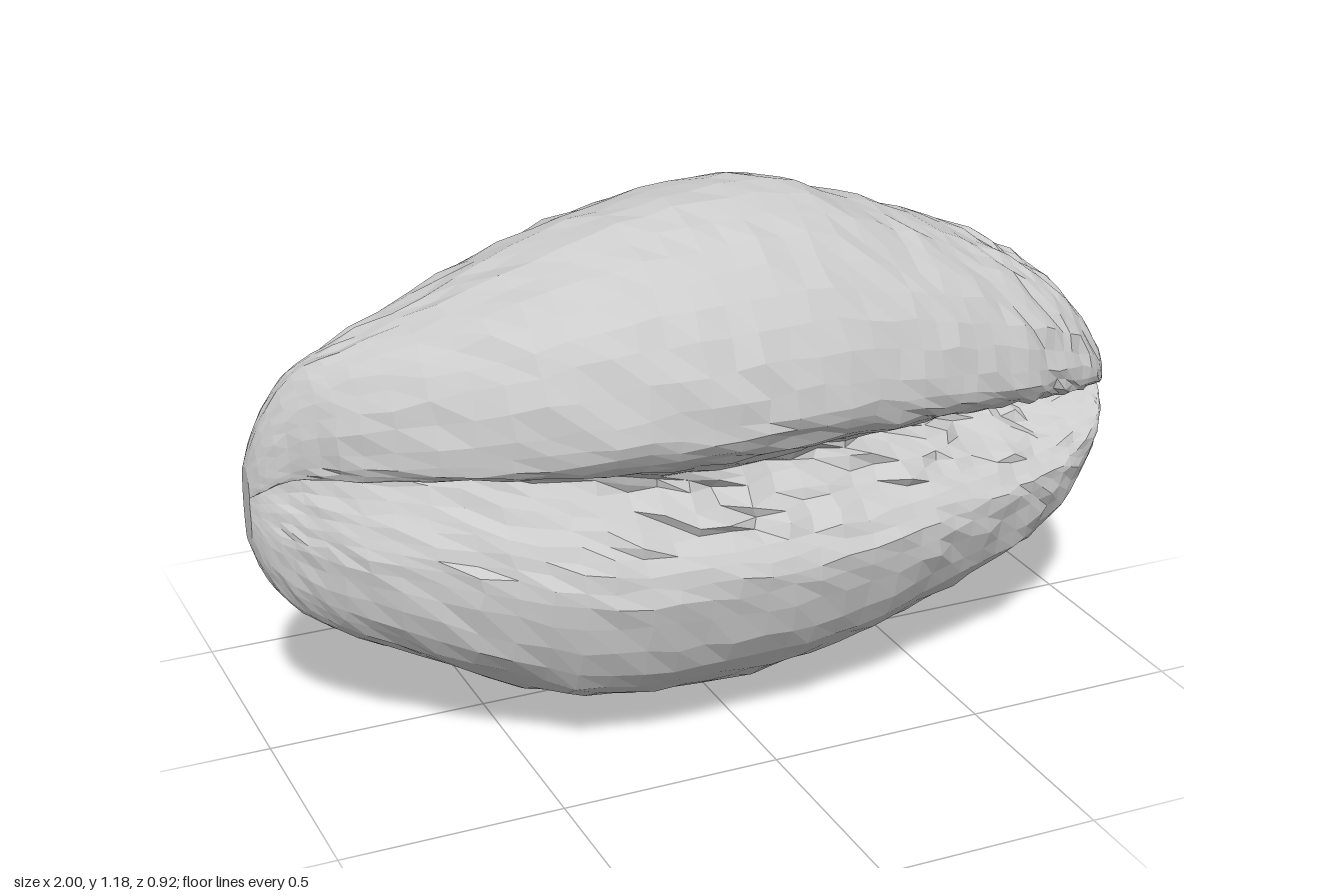
import * as THREE from 'three';

// Cross-section stations along the length: x, bottom, top, back, front, groove depth
const STATIONS = [
  [-1, .48, .66, -.085, -.03, 0],
  [-.97, .40, .75, -.10, .005, .02],
  [-.9, .315, .86, -.12, .06, .04],
  [-.8, .265, .915, -.16, .155, .06],
  [-.6, .18, 1.0, -.24, .29, .08],
  [-.4, .085, 1.09, -.315, .39, .09],
  [-.2, .03, 1.15, -.385, .44, .10],
  [0, .005, 1.175, -.44, .455, .11],
  [.2, .015, 1.165, -.455, .44, .13],
  [.4, .06, 1.1, -.43, .405, .15],
  [.55, .11, 1.04, -.36, .365, .16],
  [.7, .17, .965, -.255, .32, .16],
  [.8, .22, .915, -.18, .29, .15],
  [.88, .29, .86, -.10, .265, .12],
  [.95, .42, .77, -.035, .235, .08],
  [.985, .51, .69, .03, .19, .03],
  [1, .57, .65, .09, .15, 0],
];

// Normalised section: depth (-1 back, 1 front), height, share of the groove
const SECTION = [
  [.93, .05, 1], [.95, .13, .65], [.98, .22, .14], [1, .37, 0], [.84, .67, 0],
  [.5, .89, 0], [.08, 1, 0], [-.32, .93, 0], [-.65, .77, 0], [-.85, .45, 0],
  [-1, 0, 0], [-.87, -.42, 0], [-.66, -.78, 0], [-.32, -.92, 0], [.08, -1, 0],
  [.48, -.89, 0], [.84, -.68, 0], [1, -.37, 0], [.98, -.2, .1], [.95, -.08, .5],
];

const spline = (points, closed) => new THREE.CatmullRomCurve3(
  points.map(p => new THREE.Vector3(...p)), closed, 'catmullrom', 0.5);

// Repeatable noise in -0.5..0.5
const noise = (i, j) => {
  const s = Math.sin(i * 127.1 + j * 311.7) * 43758.5453;
  return s - Math.floor(s) - 0.5;
};

function shellGeometry(rings = 49, sides = 56) {
  const heights = spline(STATIONS.map(s => [s[0], s[1], s[2]]), false);
  const depths = spline(STATIONS.map(s => [s[3], s[4], s[5]]), false);
  const section = spline(SECTION, true);
  const positions = [], index = [];

  for (let i = 0; i < rings; i++) {
    const t = i / (rings - 1);
    const { x, y: bottom, z: top } = heights.getPoint(t);
    const { x: back, y: front, z: groove } = depths.getPoint(t);
    const rough = 0.014 * Math.min(1, Math.min(i, rings - 1 - i) / 12);
    // the groove climbs and the section grows squarer towards the narrow end
    const narrow = THREE.MathUtils.smoothstep(-x, 0, 0.7);
    // the blunt end has a squarer upper back edge
    const blunt = THREE.MathUtils.smoothstep(x, 0.4, 0.8);
    for (let j = 0; j < sides; j++) {
      const p = section.getPoint(j / sides);
      const g = Math.max(0, p.z);
      const corner = Math.abs(p.x * p.y) * (1 - g);
      const full = 1 + corner * (0.2 * narrow + (p.x < 0 && p.y > 0 ? 0.38 : 0.08) * blunt);
      let px = x + noise(i, j) * rough;
      const py = (bottom + top) / 2 + full * p.y * (top - bottom) / 2
        + 0.06 * narrow * g + noise(i + 71, j) * rough;
      let pz = (back + front) / 2 + full * p.x * (front - back) / 2
        - groove * g + noise(i, j + 53) * rough;
      // ragged teeth along the slit
      if (p.y < 0.06 && g > 0.3 && x > -0.3 && x < 0.8) pz += noise(i, j + 9) * 0.05;
      // pit behind the lip of the blunt end
      if (x > 0.7) px -= 0.12 * Math.exp(-(((py - 0.58) / 0.15) ** 2 + ((pz + 0.08) / 0.075) ** 2));
      positions.push(px, py, pz);
    }
  }
  for (let i = 0; i < rings - 1; i++) {
    for (let j = 0; j < sides; j++) {
      const k = (j + 1) % sides;
      const a = i * sides + j, b = i * sides + k, c = a + sides, d = b + sides;
      index.push(a, c, b, b, c, d);
    }
  }
  // close both ends
  const tips = rings * sides, last = (rings - 1) * sides;
  positions.push(-1, 0.57, -0.06, 1, 0.61, 0.12);
  for (let j = 0; j < sides; j++) {
    const k = (j + 1) % sides;
    index.push(tips, j, k, tips + 1, last + k, last + j);
  }

  const geometry = new THREE.BufferGeometry();
  geometry.setAttribute('position', new THREE.Float32BufferAttribute(positions, 3));
  geometry.setIndex(index);
  geometry.computeVertexNormals();
  return geometry;
}

export function createModel() {
  const group = new THREE.Group();
  group.name = 'seashell';
  const material = new THREE.MeshStandardMaterial({ color: 0xcccccc, flatShading: true });
  const shell = new THREE.Mesh(shellGeometry(), material);
  shell.name = 'groovedShell';
  group.add(shell);
  return group;
}
